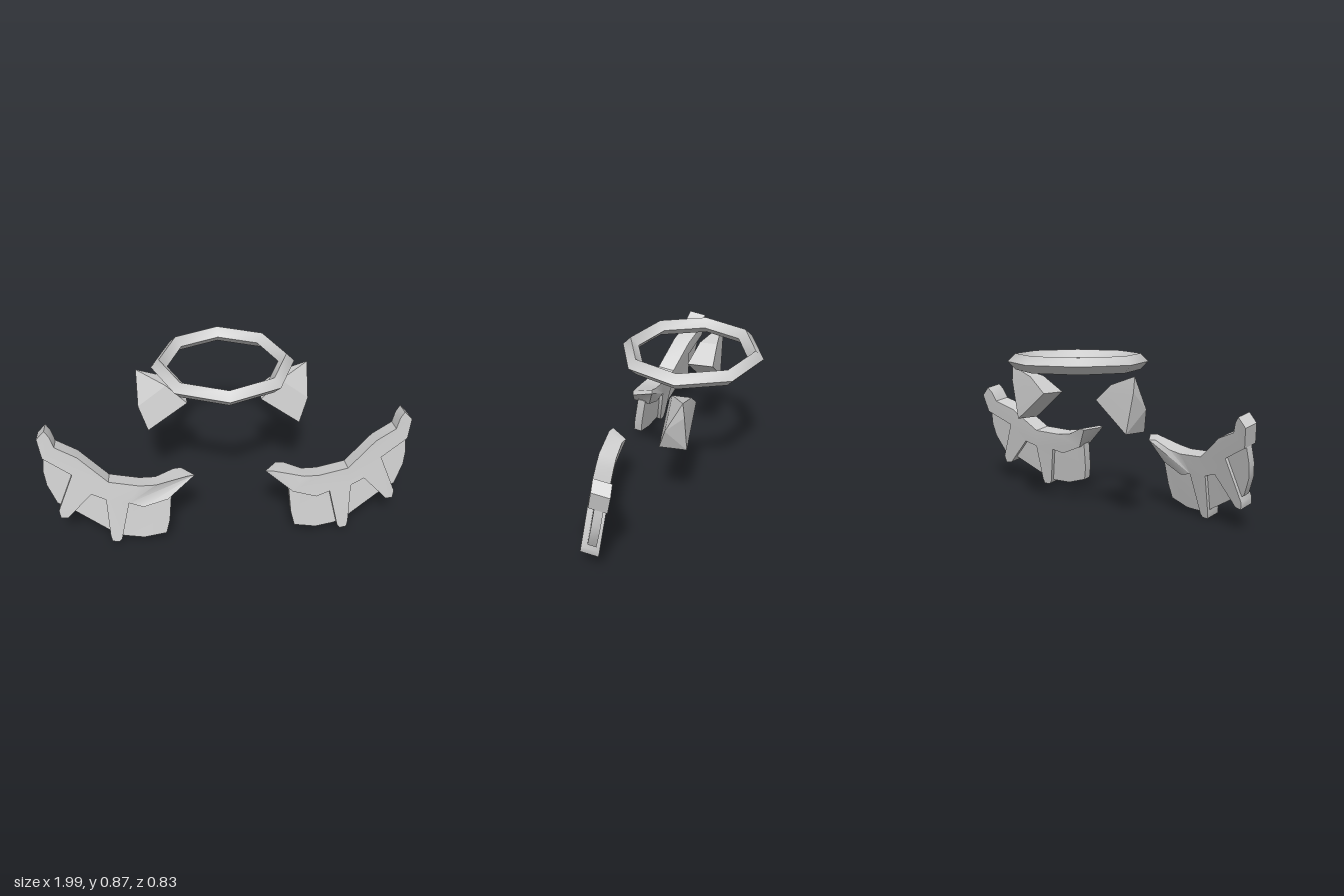
import * as THREE from 'three';
import { toCreasedNormals } from 'three/addons/utils/BufferGeometryUtils.js';
import { ConvexGeometry } from 'three/addons/geometries/ConvexGeometry.js';

const grey = new THREE.MeshStandardMaterial({ color: 0xcccccc });
grey.name = 'light grey';

function add(parent, name, geometry, crease) {
  const mesh = new THREE.Mesh(toCreasedNormals(geometry, crease), grey);
  mesh.name = name;
  parent.add(mesh);
  return mesh;
}

// Curved front surface that every wing plate follows
function frontZ(x, y) {
  return 0.505 - 0.1 * x - 0.09 * x * x - 0.2 * y - 0.4 * Math.max(0, 0.28 - x);
}

// Plate cut from an outline and bent onto the wing surface, lying `inset` behind it
function bentPlate(outline, side, inset, thickness) {
  const shape = new THREE.Shape(outline.map(([x, y]) => new THREE.Vector2(side * x, y)));
  const geo = new THREE.ExtrudeGeometry(shape, { depth: thickness, bevelEnabled: false });
  const pos = geo.attributes.position;
  for (let i = 0; i < pos.count; i++) {
    const x = Math.abs(pos.getX(i)), y = pos.getY(i);
    const back = inset + thickness - pos.getZ(i);
    // the inner tip is cut back behind; the rear sits slightly lower
    const cut = x < 0.28 ? 0.72 * back : 0;
    pos.setXYZ(i, side * (x + cut), y - 0.18 * back, frontZ(x, y) - back);
  }
  return geo;
}

// Raised frame: upper band with two fingers
const frame = [
  [0.185, 0.405], [0.225, 0.408], [0.39, 0.365], [0.475, 0.355], [0.635, 0.365],
  [0.79, 0.49], [0.905, 0.535], [0.925, 0.59], [0.95, 0.62], [0.995, 0.57],
  [0.975, 0.465], [0.825, 0.388], [0.913, 0.17], [0.905, 0.13], [0.865, 0.135],
  [0.835, 0.17], [0.73, 0.287], [0.655, 0.262], [0.645, 0.05], [0.637, 0.018],
  [0.6, 0.018], [0.585, 0.035], [0.535, 0.252], [0.46, 0.235], [0.33, 0.287],
];

// Recessed panels, tucked into the frame
const panels = {
  innerPanel: [[0.31, 0.31], [0.46, 0.27], [0.55, 0.28], [0.61, 0.05], [0.57, 0.04],
    [0.465, 0.038], [0.345, 0.072], [0.325, 0.15]],
  middlePanel: [[0.62, 0.29], [0.735, 0.31], [0.86, 0.17], [0.83, 0.165], [0.64, 0.062], [0.62, 0.062]],
  outerPanel: [[0.8, 0.4], [0.94, 0.475], [0.972, 0.465], [0.98, 0.375], [0.968, 0.3],
    [0.92, 0.2], [0.885, 0.19]],
};

function buildWing(side) {
  const wing = new THREE.Group();
  wing.name = side > 0 ? 'leftWing' : 'rightWing';
  add(wing, 'wingFrame', bentPlate(frame, side, 0, 0.095), 0.6);
  for (const [name, outline] of Object.entries(panels)) {
    add(wing, name, bentPlate(outline, side, 0.03, 0.045), 0.4);
  }
  return wing;
}

// Faceted ear with a flat back and a front sloping to the raised tip
function buildEar(side) {
  const corners = [
    [0.2, 0.642, 0.04], [0.415, 0.478, 0.04], [0.31, 0.73, -0.005], [0.464, 0.607, -0.005],
    [0.466, 0.783, -0.1], [0.2, 0.642, -0.105], [0.415, 0.48, -0.107], [0.31, 0.73, -0.105],
    [0.464, 0.7, -0.107],
  ];
  return new ConvexGeometry(corners.map(([x, y, z]) => new THREE.Vector3(side * x, y, z)));
}

export function createModel() {
  const model = new THREE.Group();
  model.name = 'haloEarsAndWings';

  // Eight-sided halo with a diamond section
  const halo = new THREE.TorusGeometry(0.34, 0.044, 4, 8).rotateX(Math.PI / 2);
  add(model, 'halo', halo, 1.0).position.set(0, 0.83, -0.035);

  for (const side of [1, -1]) {
    add(model, side > 0 ? 'leftEar' : 'rightEar', buildEar(side), 0.2);
    model.add(buildWing(side));
  }
  return model;
}
